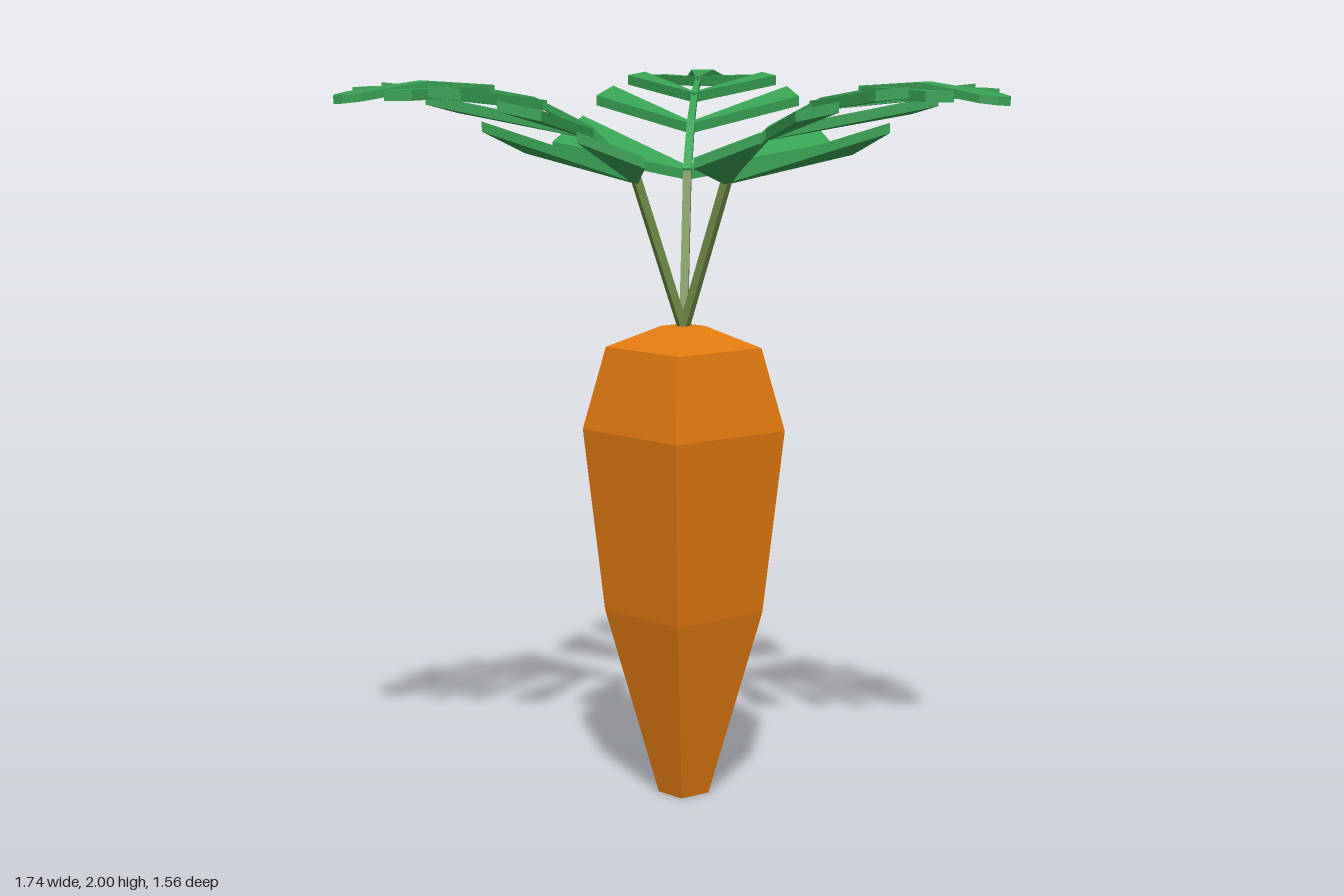
import * as THREE from 'three';

const orange = new THREE.MeshStandardMaterial({ color: 0xe27a10 });
orange.name = 'carrot orange';
const green = new THREE.MeshStandardMaterial({ color: 0x38a252 });
green.name = 'leaf green';
const olive = new THREE.MeshStandardMaterial({ color: 0x6f8a45 });
olive.name = 'stem olive';

function part(name, geometry, material) {
  const flat = geometry.index ? geometry.toNonIndexed() : geometry;
  flat.computeVertexNormals();
  const mesh = new THREE.Mesh(flat, material);
  mesh.name = name;
  return mesh;
}

// Square tapering bar through [distance outwards, height] points
function bar(points, r0, r1) {
  const n = points.length - 1;
  const geo = new THREE.CylinderGeometry(1, 1, 1, 4, n, false, Math.PI / 4);
  const pos = geo.attributes.position;
  for (let i = 0; i < pos.count; i++) {
    const k = Math.round((pos.getY(i) + 0.5) * n);
    const [u, y] = points[k];
    const a = points[Math.max(k - 1, 0)], b = points[Math.min(k + 1, n)];
    const du = b[0] - a[0], dy = b[1] - a[1], len = Math.hypot(du, dy);
    const r = r0 + (r1 - r0) * k / n;
    const side = pos.getZ(i) * r;
    pos.setXYZ(i, pos.getX(i) * r, y + side * du / len, -u + side * dy / len);
  }
  return geo;
}

// Slab with an outline in [sideways, outwards], raised to a height rule
function slab(outline, height, thick) {
  const shape = new THREE.Shape(outline.map(([x, u]) => new THREE.Vector2(x, u)));
  const geo = new THREE.ExtrudeGeometry(shape, { depth: thick, bevelEnabled: false });
  const pos = geo.attributes.position;
  for (let i = 0; i < pos.count; i++) {
    const u = pos.getY(i);
    pos.setXYZ(i, pos.getX(i), height(u) + pos.getZ(i) - thick, -u);
  }
  return geo;
}

// Leaflet pairs: root distance, root height, slope, inner and outer tip corners
const leaflets = [
  { u: 0.15, y: 1.745, slope: 0.42, far: [0.325, 0.46], near: [0.395, 0.30] },
  { u: 0.275, y: 1.865, slope: 0.24, far: [0.255, 0.65], near: [0.295, 0.545] },
  { u: 0.415, y: 1.945, slope: 0.12, far: [0.175, 0.805], near: [0.22, 0.735] },
  { u: 0.565, y: 1.985, slope: -0.01, far: [0.12, 0.905], near: [0.16, 0.845] },
];

function makeLeaf() {
  const leaf = new THREE.Group();
  leaf.name = 'leaf';
  leaf.add(part('stem', bar([[0, 1.31], [0.145, 1.735]], 0.016, 0.016), olive));
  leaf.add(part('midrib', bar([[0.145, 1.735], [0.285, 1.865], [0.445, 1.945], [0.645, 1.983]], 0.017, 0.01), green));

  for (const { u, y, slope, far, near } of leaflets) {
    for (const s of [1, -1]) {
      const outline = [[0, u - 0.012], [s * near[0], near[1]], [s * far[0], far[1]], [0, u + 0.012]];
      leaf.add(part('leaflet', slab(outline, d => y + slope * (d - u), 0.028), green));
    }
  }

  // Bent leaflet at the end
  const inner = [[-0.008, 0.56], [0.008, 0.56], [0.032, 0.75], [-0.032, 0.75]];
  const outer = [[-0.032, 0.75], [0.032, 0.75], [0.061, 0.945], [0.032, 0.985], [0, 1], [-0.032, 0.985], [-0.061, 0.945]];
  leaf.add(part('endLeafletInner', slab(inner, d => 2 - 0.07 * (0.75 - d), 0.022), green));
  leaf.add(part('endLeafletOuter', slab(outer, d => 2 - 0.14 * (d - 0.75), 0.022), green));
  return leaf;
}

export function createModel() {
  const model = new THREE.Group();
  model.name = 'carrot';
  model.position.z = 0;

  const plant = new THREE.Group();
  plant.name = 'plant';
  plant.position.z = 0.215;
  model.add(plant);

  // Four-sided root
  const profile = [[0, 0], [0.07, 0], [0.22, 0.52], [0.28, 1.03], [0.215, 1.26], [0.06, 1.32], [0, 1.32]];
  plant.add(part('root', new THREE.LatheGeometry(profile.map(p => new THREE.Vector2(...p)), 4), orange));

  // Three leaves around the crown
  for (let i = 0; i < 3; i++) {
    const leaf = makeLeaf();
    leaf.rotation.y = i * Math.PI * 2 / 3;
    plant.add(leaf);
  }
  return model;
}
